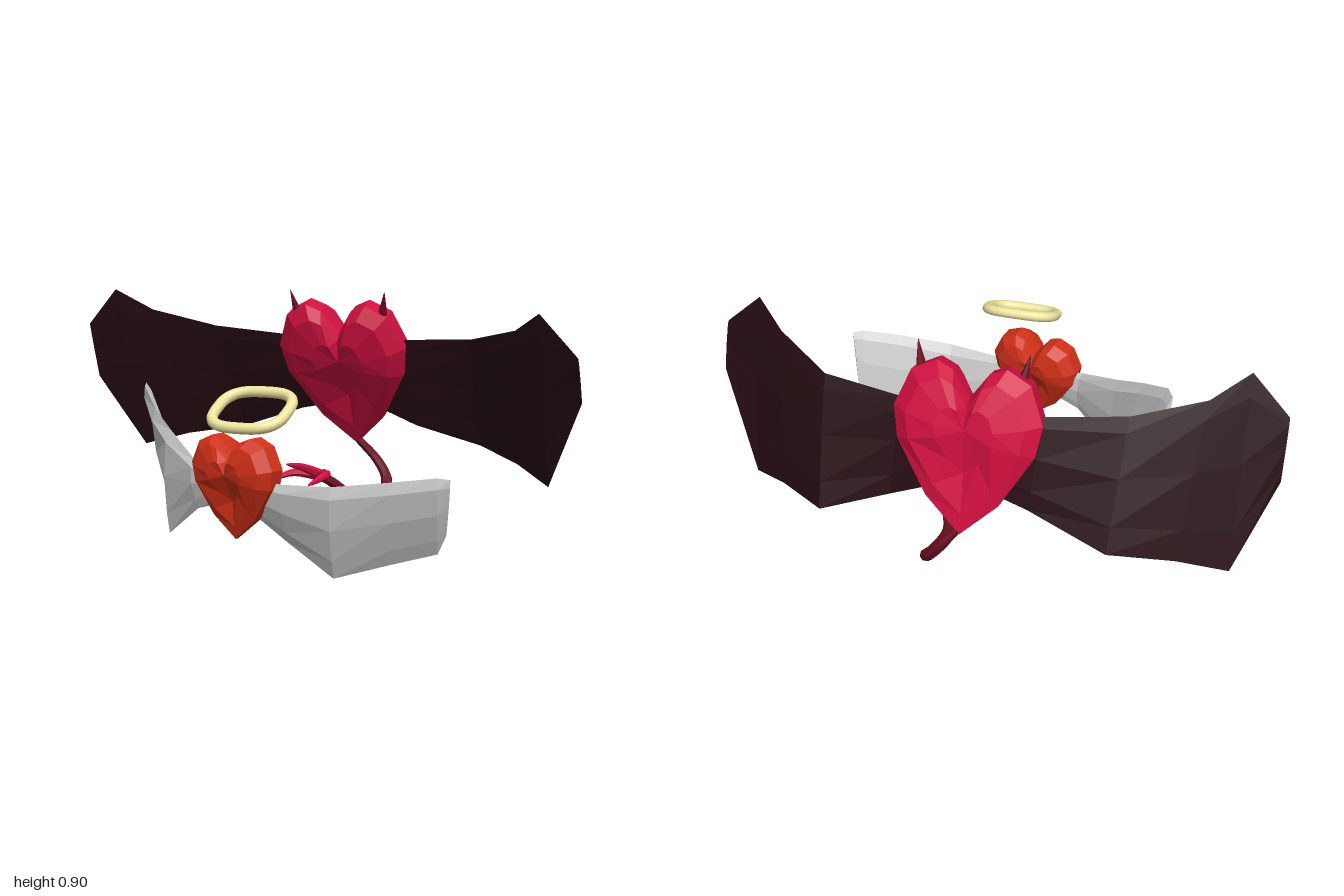
import * as THREE from 'three';

const V = (p) => new THREE.Vector3(...p);
const material = (color) => new THREE.MeshStandardMaterial({ color, flatShading: true });
const RED = material(0xd01040), ORANGE = material(0xd03018), DARK = material(0x260c12);
const MAROON = material(0x6a0e22), GOLD = material(0xf0e6a0), GREY = material(0xcccccc);

function add(group, name, geometry, mat) {
  const mesh = new THREE.Mesh(geometry, mat);
  mesh.name = name;
  group.add(mesh);
  return mesh;
}

// Closed skin over rings of equal point count, capped with fans, faces turned outward
function skin(rings) {
  const n = rings[0].length, last = rings.length - 1;
  const centre = (r) => r.reduce((a, p) => a.add(p), new THREE.Vector3()).divideScalar(n);
  const points = [...rings.flat(), centre(rings[0]), centre(rings[last])];
  const c0 = n * rings.length, tris = [];
  for (let j = 0; j < n; j++) {
    const k = (j + 1) % n;
    for (let i = 0; i < last; i++) {
      const a = i * n + j, b = i * n + k;
      tris.push([a, b, a + n], [b, b + n, a + n]);
    }
    tris.push([c0, k, j], [c0 + 1, last * n + j, last * n + k]);
  }
  let volume = 0;
  const cross = new THREE.Vector3();
  for (const [a, b, c] of tris) volume += points[a].dot(cross.crossVectors(points[b], points[c]));
  if (volume < 0) tris.forEach((t) => t.reverse());
  const geometry = new THREE.BufferGeometry().setFromPoints(points);
  geometry.setIndex(tris.flat());
  geometry.computeVertexNormals();
  return geometry;
}

// Wing from [top, bottom, half thickness] sections with a lens-shaped cross-section
function wing(sections) {
  const profile = [[0, 0], [0.12, 0.8], [0.45, 1], [0.8, 0.5], [1, 0], [0.8, -0.5], [0.45, -1], [0.12, -0.8]];
  const mid = ([t, b]) => V(t).lerp(V(b), 0.5);
  return skin(sections.map((s, i) => {
    const span = mid(sections[Math.min(i + 1, sections.length - 1)]).sub(mid(sections[Math.max(i - 1, 0)]));
    const top = V(s[0]), bottom = V(s[1]);
    const normal = bottom.clone().sub(top).cross(span).normalize();
    return profile.map(([f, h]) => top.clone().lerp(bottom, f).addScaledVector(normal, h * s[2]));
  }));
}

// Heart with bevelled rim, a groove between the lobes and a thin tip
function heart(width, height, depth) {
  const half = [[0.24, 0.9], [0.47, 1], [0.8, 0.83], [1, 0.32], [0.93, -0.12], [0.5, -0.87]];
  const outline = [[0, 0.55], ...half, [0, -1.36], ...half.map(([x, y]) => [-x, y]).reverse()];
  const rings = [[0.4, -1], [0.8, -0.8], [1, -0.35], [1, 0.35], [0.8, 0.8], [0.4, 1]];
  return skin(rings.map(([s, z]) => outline.map(([x, y]) => {
    const taper = y < 0 ? 1 + 0.55 * y : x === 0 ? 0.75 : 1;
    return new THREE.Vector3(x * s * width, (0.1 + (y - 0.1) * s) * height, z * taper * depth);
  })));
}

// Tube along a smooth path whose radius follows radius(t)
function taperTube(path, radius, segments = 8, sides = 7) {
  const curve = new THREE.CatmullRomCurve3(path.map(V));
  const geometry = new THREE.TubeGeometry(curve, segments, 1, sides);
  const pos = geometry.attributes.position, v = new THREE.Vector3();
  for (let i = 0; i < pos.count; i++) {
    const t = Math.floor(i / (sides + 1)) / segments, c = curve.getPointAt(t);
    v.fromBufferAttribute(pos, i).sub(c).multiplyScalar(radius(t)).add(c);
    pos.setXYZ(i, v.x, v.y, v.z);
  }
  geometry.computeVertexNormals();
  return geometry;
}

export function createModel() {
  const model = new THREE.Group();

  // Horned heart, leaning forward at the top
  const darkSide = new THREE.Group();
  darkSide.name = 'hornedHeart';
  model.add(darkSide);
  const bigHeart = add(darkSide, 'bigHeart', heart(0.253, 0.253, 0.088), RED);
  bigHeart.position.set(0.022, 0.62, -0.43);
  bigHeart.rotation.x = 0.36;

  for (const s of [-1, 1]) {
    const at = (x, y, z) => [0.03 + s * x, y, z];
    add(darkSide, 'horn', taperTube([at(0.165, 0.78, -0.35), at(0.178, 0.84, -0.335), at(0.19, 0.9, -0.315)],
      (t) => 0.025 * (1 - t) + 0.001, 5, 6), MAROON);
  }

  // Bat wings, swept forward at the ends
  add(darkSide, 'rightBatWing', wing([
    [[-0.1, 0.72, -0.42], [-0.08, 0.45, -0.5], 0.008],
    [[-0.23, 0.725, -0.4], [-0.2, 0.425, -0.52], 0.008],
    [[-0.5, 0.75, -0.36], [-0.48, 0.33, -0.567], 0.007],
    [[-0.743, 0.81, -0.29], [-0.7, 0.295, -0.5], 0.006],
    [[-0.866, 0.89, -0.216], [-0.876, 0.247, -0.45], 0.005],
    [[-1, 0.75, -0.235], [-1, 0.535, -0.3], 0.003],
  ]), DARK);
  add(darkSide, 'leftBatWing', wing([
    [[0.14, 0.715, -0.42], [0.12, 0.45, -0.5], 0.008],
    [[0.26, 0.72, -0.4], [0.28, 0.385, -0.51], 0.008],
    [[0.54, 0.735, -0.36], [0.515, 0.315, -0.568], 0.007],
    [[0.745, 0.785, -0.225], [0.7, 0.28, -0.43], 0.006],
    [[0.853, 0.853, -0.14], [0.85, 0.224, -0.32], 0.005],
    [[1, 0.71, -0.107], [1, 0.55, -0.176], 0.003],
  ]), DARK);

  // Tail sweeping under and forward to a three-pronged fork
  const tail = [[0.03, 0.31, -0.54], [0.1, 0.23, -0.562], [0.15, 0.16, -0.535], [0.155, 0.1, -0.45],
    [0.14, 0.067, -0.3], [0.18, 0.064, -0.17], [0.22, 0.1, -0.07], [0.22, 0.18, -0.01],
    [0.175, 0.255, 0.06], [0.135, 0.285, 0.1]];
  add(darkSide, 'tail', taperTube(tail, (t) => 0.016 + 0.009 * Math.sin(Math.PI * t), 36, 8), MAROON);
  const prongs = [
    [[0.14, 0.28, 0.085], [0.06, 0.29, 0.125], [0.005, 0.27, 0.195]],
    [[0.14, 0.28, 0.075], [0.11, 0.315, 0.15], [0.085, 0.34, 0.245]],
    [[0.15, 0.28, 0.075], [0.18, 0.29, 0.12], [0.165, 0.27, 0.24]],
  ];
  for (const path of prongs) {
    add(darkSide, 'forkProng', taperTube(path, (t) => 0.019 * Math.pow(1 - t, 0.6) + 0.001), RED);
  }

  // Small heart with the ring floating over it
  const lightSide = new THREE.Group();
  lightSide.name = 'winglessHeartGroup';
  lightSide.name = 'haloedHeart';
  model.add(lightSide);
  const smallHeart = add(lightSide, 'smallHeart', heart(0.173, 0.148, 0.08), ORANGE);
  smallHeart.position.set(-0.005, 0.312, 0.438);
  smallHeart.rotation.y = -0.22;

  // Rounded-square halo, tipped down at the front
  const square = [];
  for (let i = 0; i < 24; i++) {
    const a = (i / 24) * Math.PI * 2, c = Math.cos(a), s = Math.sin(a);
    const r = Math.pow(Math.abs(c) ** 3 + Math.abs(s) ** 3, -1 / 3);
    square.push(new THREE.Vector3(0.128 * r * c, 0, 0.11 * r * s));
  }
  const haloMaterial = GOLD.clone();
  haloMaterial.flatShading = false;
  const halo = add(lightSide, 'halo',
    new THREE.TubeGeometry(new THREE.CatmullRomCurve3(square, true), 48, 0.019, 10, true), haloMaterial);
  halo.position.set(0.063, 0.553, 0.457);
  halo.rotation.x = 0.45;

  // Feathered wings, the right one raised and swept back
  add(lightSide, 'rightFeatherWing', wing([
    [[-0.08, 0.33, 0.42], [-0.08, 0.22, 0.41], 0.018],
    [[-0.19, 0.355, 0.39], [-0.18, 0.19, 0.385], 0.022],
    [[-0.35, 0.435, 0.27], [-0.345, 0.07, 0.295], 0.024],
    [[-0.46, 0.495, 0.19], [-0.42, 0.15, 0.15], 0.023],
    [[-0.56, 0.56, 0.09], [-0.495, 0.24, 0], 0.02],
    [[-0.585, 0.565, 0.035], [-0.515, 0.29, -0.03], 0.01],
  ]), GREY);
  add(lightSide, 'leftFeatherWing', wing([
    [[0.08, 0.32, 0.46], [0.08, 0.18, 0.43], 0.018],
    [[0.18, 0.315, 0.475], [0.18, 0.11, 0.425], 0.022],
    [[0.36, 0.325, 0.495], [0.34, 0.005, 0.42], 0.024],
    [[0.55, 0.35, 0.47], [0.52, 0.06, 0.38], 0.023],
    [[0.7, 0.37, 0.435], [0.675, 0.105, 0.35], 0.02],
    [[0.738, 0.365, 0.42], [0.705, 0.17, 0.355], 0.01],
  ]), GREY);

  return model;
}
